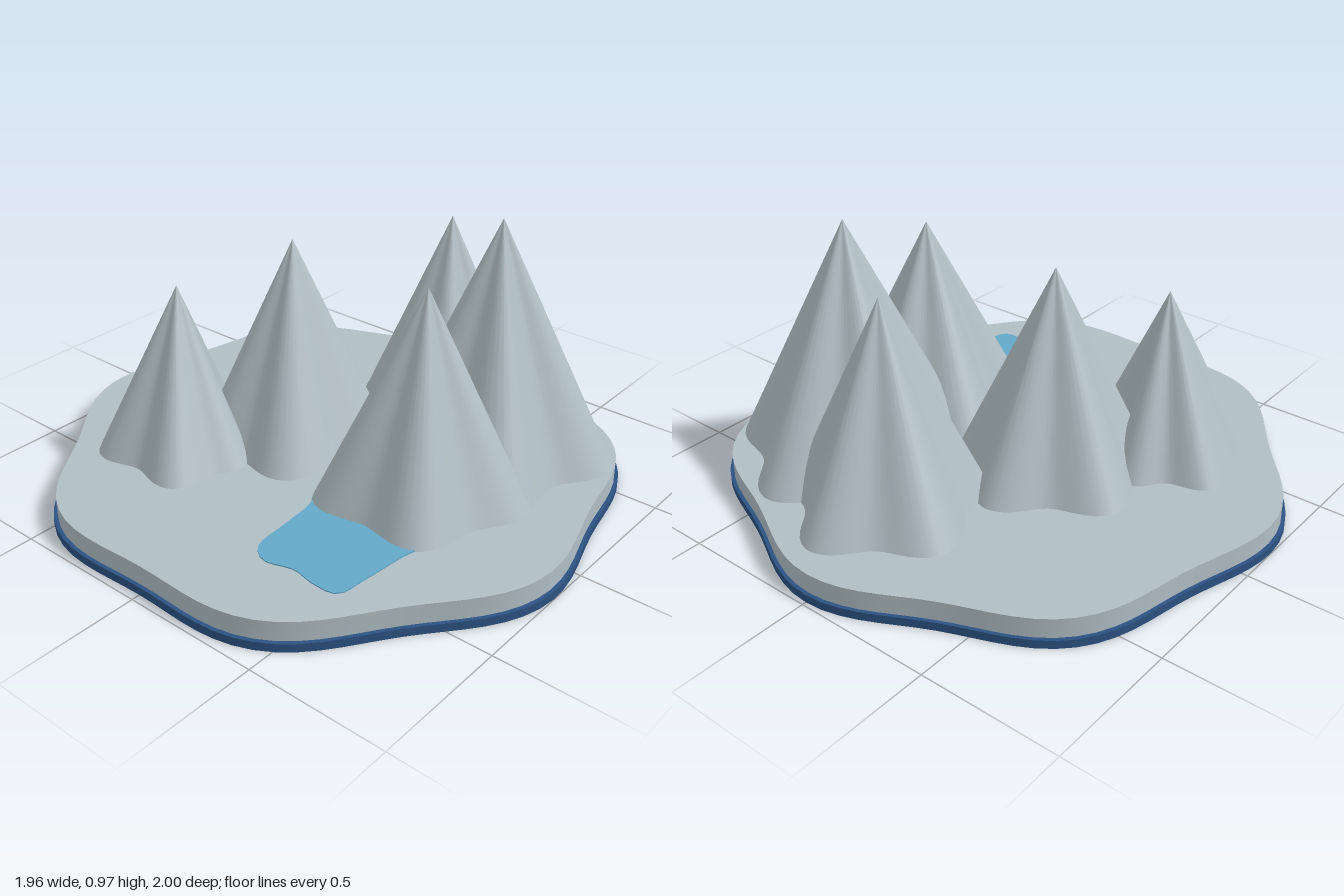
import * as THREE from 'three';

// Closed loop of [x, z] points from a radius rule over the angle in degrees
function polarLoop(count, radiusAt) {
  return Array.from({ length: count }, (_, i) => {
    const deg = (360 * i) / count;
    const a = THREE.MathUtils.degToRad(deg);
    const r = radiusAt(deg, a);
    return new THREE.Vector2(r * Math.cos(a), r * Math.sin(a));
  });
}

// Wall from y0 to y1 along a loop, tapering by topScale; caps optional
function loft(loop, y0, y1, topScale, capped) {
  const n = loop.length;
  const pos = [];
  const idx = [];
  const ring = (y, s) => loop.forEach((p) => pos.push(p.x * s, y, p.y * s));
  ring(y0, 1);
  ring(y1, topScale);
  for (let i = 0; i < n; i++) {
    const j = (i + 1) % n;
    idx.push(i, n + i, j);
    if (topScale > 0) idx.push(j, n + i, n + j);
  }
  if (capped) {
    for (const [y, s, up] of [[y0, 1, false], [y1, topScale, true]]) {
      const start = pos.length / 3;
      ring(y, s);
      pos.push(0, y, 0);
      for (let i = 0; i < n; i++) {
        const a = start + i;
        const b = start + ((i + 1) % n);
        idx.push(start + n, up ? b : a, up ? a : b);
      }
    }
  }
  const g = new THREE.BufferGeometry();
  g.setAttribute('position', new THREE.Float32BufferAttribute(pos, 3));
  g.setIndex(idx);
  g.computeVertexNormals();
  return g;
}

// Seven-lobed coast, slightly wider towards -x
const coast = (scale) => polarLoop(98, (deg, a) =>
  scale * (0.978 - 0.025 * Math.cos(a) + 0.033 * Math.cos(7 * a)));

// Mountain foot: each lobe is [angle, radius, depth of the valley after it]
function lobedFoot(lobes) {
  return polarLoop(72, (deg) => {
    const first = lobes[0][0];
    const d = first + THREE.MathUtils.euclideanModulo(deg - first, 360);
    const k = lobes.findLastIndex((l) => l[0] <= d);
    const [a0, r0, depth] = lobes[k];
    const [next, r1] = lobes[(k + 1) % lobes.length];
    const a1 = k + 1 < lobes.length ? next : next + 360;
    const t = (d - a0) / (a1 - a0);
    return THREE.MathUtils.lerp(r0, r1, t) * (1 - depth * Math.sin(Math.PI * t) ** 2);
  });
}

// Peaks: apex position and the five lobes of the foot
const peaks = [
  { name: 'frontLeftPeak', x: 0.337, z: 0.42, top: 0.97, lobes: [
    [-68, 0.42, 0.2], [-3, 0.44, 0.24], [70, 0.435, 0.24], [140, 0.43, 0.2], [214, 0.42, 0.2]] },
  { name: 'frontRightPeak', x: -0.045, z: 0.4, top: 0.847, lobes: [
    [-70, 0.37, 0.2], [-3, 0.365, 0.25], [72, 0.375, 0.2], [146, 0.365, 0.19], [217, 0.38, 0.24]] },
  { name: 'middlePeak', x: -0.02, z: -0.195, top: 0.847, lobes: [
    [-71, 0.38, 0.22], [0, 0.375, 0.25], [62, 0.35, 0.15], [146, 0.355, 0.18], [212, 0.355, 0.2]] },
  { name: 'leftPeak', x: 0.512, z: 0.095, top: 0.847, lobes: [
    [-71, 0.375, 0.2], [-2, 0.375, 0.23], [72, 0.35, 0.2], [148, 0.35, 0.15], [212, 0.35, 0.2]] },
  { name: 'backPeak', x: -0.343, z: -0.437, top: 0.715, lobes: [
    [-66, 0.315, 0.2], [-10, 0.285, 0.44], [86, 0.28, 0.13], [142, 0.315, 0.24], [216, 0.31, 0.17]] },
];

// Lake shore around the lake centre
const shore = [
  [0.13, -0.25], [0.27, -0.27], [0.29, 0], [0.21, 0.24], [-0.02, 0.215], [-0.17, 0.2],
  [-0.28, 0.18], [-0.29, 0.09], [-0.275, 0], [-0.3, -0.1], [-0.26, -0.165], [-0.1, -0.185], [0.03, -0.2],
];

export function createModel() {
  const group = new THREE.Group();
  const mat = (name, color) => {
    const m = new THREE.MeshStandardMaterial({ color });
    m.name = name;
    return m;
  };
  const stone = mat('stone grey', 0xb0bec5);
  const deepBlue = mat('deep blue', 0x2c5282);
  const water = mat('lake blue', 0x62a8c8);
  const add = (name, geometry, material, x = 0, z = 0) => {
    const mesh = new THREE.Mesh(geometry, material);
    mesh.name = name;
    mesh.position.set(x, 0, z);
    group.add(mesh);
  };

  // Island: blue base rim and stone slab
  add('baseRim', loft(coast(1), 0, 0.03, 1, true), deepBlue);
  add('islandSlab', loft(coast(0.986), 0.03, 0.1, 1, true), stone);

  // Lake: thin plate on the slab
  const curve = new THREE.CatmullRomCurve3(
    shore.map(([x, z]) => new THREE.Vector3(x, 0, z)), true, 'centripetal');
  const lakeLoop = curve.getSpacedPoints(64).slice(0, 64).map((p) => new THREE.Vector2(p.x, p.z));
  add('lake', loft(lakeLoop, 0.1, 0.104, 1, true), water, -0.39, 0.373);

  // Peaks: lobed cones
  for (const p of peaks) {
    add(p.name, loft(lobedFoot(p.lobes), 0.1, p.top, 0, false), stone, p.x, p.z);
  }
  return group;
}
